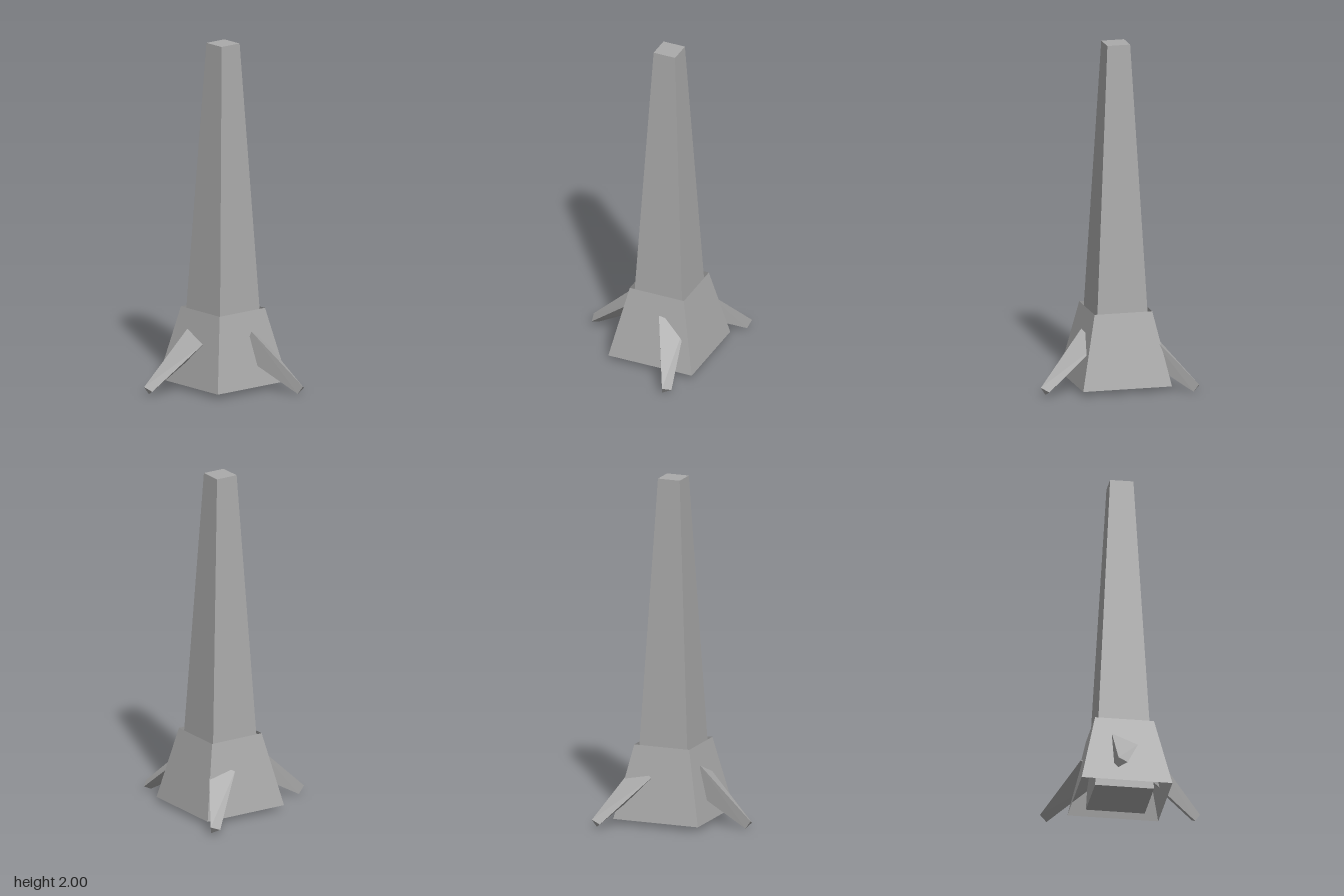
import * as THREE from 'three';
import { ConvexGeometry } from 'three/addons/geometries/ConvexGeometry.js';

const BOTTOM = 0.03;

// Four-sided tapering tube with its corners on the x and z axes
function squareTaper(name, topRadius, bottomRadius, topY, open, material) {
  const height = topY - BOTTOM;
  const geometry = new THREE.CylinderGeometry(topRadius, bottomRadius, height, 4, 1, open);
  const mesh = new THREE.Mesh(geometry, material);
  mesh.name = name;
  mesh.position.y = BOTTOM + height / 2;
  return mesh;
}

export function createModel() {
  const grey = new THREE.MeshStandardMaterial({ color: 0xaaaaaa, flatShading: true, side: THREE.DoubleSide });
  grey.name = 'grey';

  const model = new THREE.Group();
  model.name = 'tower';
  model.position.set(-0.025, 0, 0.073);

  // Tall closed shaft inside a flared skirt open at both ends
  model.add(squareTaper('shaft', 0.095, 0.24, 2, false, grey));
  model.add(squareTaper('skirt', 0.24, 0.37, 0.455, true, grey));

  // Three-sided tapering leg: wide end inside the skirt, narrow foot outside
  const wideEnd = [[0.173, 0.345, 0.127], [0.222, 0.28, -0.013], [0.115, 0.2, 0.097]];
  const foot = [[0.474, 0.05, 0.219], [0.475, 0.03, 0.162], [0.443, 0.004, 0.207]];
  const legGeometry = new ConvexGeometry([...wideEnd, ...foot].map((p) => new THREE.Vector3(...p)));
  for (let i = 0; i < 3; i++) {
    const leg = new THREE.Mesh(legGeometry, grey);
    leg.name = `leg${i + 1}`;
    leg.rotation.y = (i * Math.PI * 2) / 3;
    model.add(leg);
  }

  const root = new THREE.Group();
  root.name = 'model';
  root.add(model);
  return root;
}
